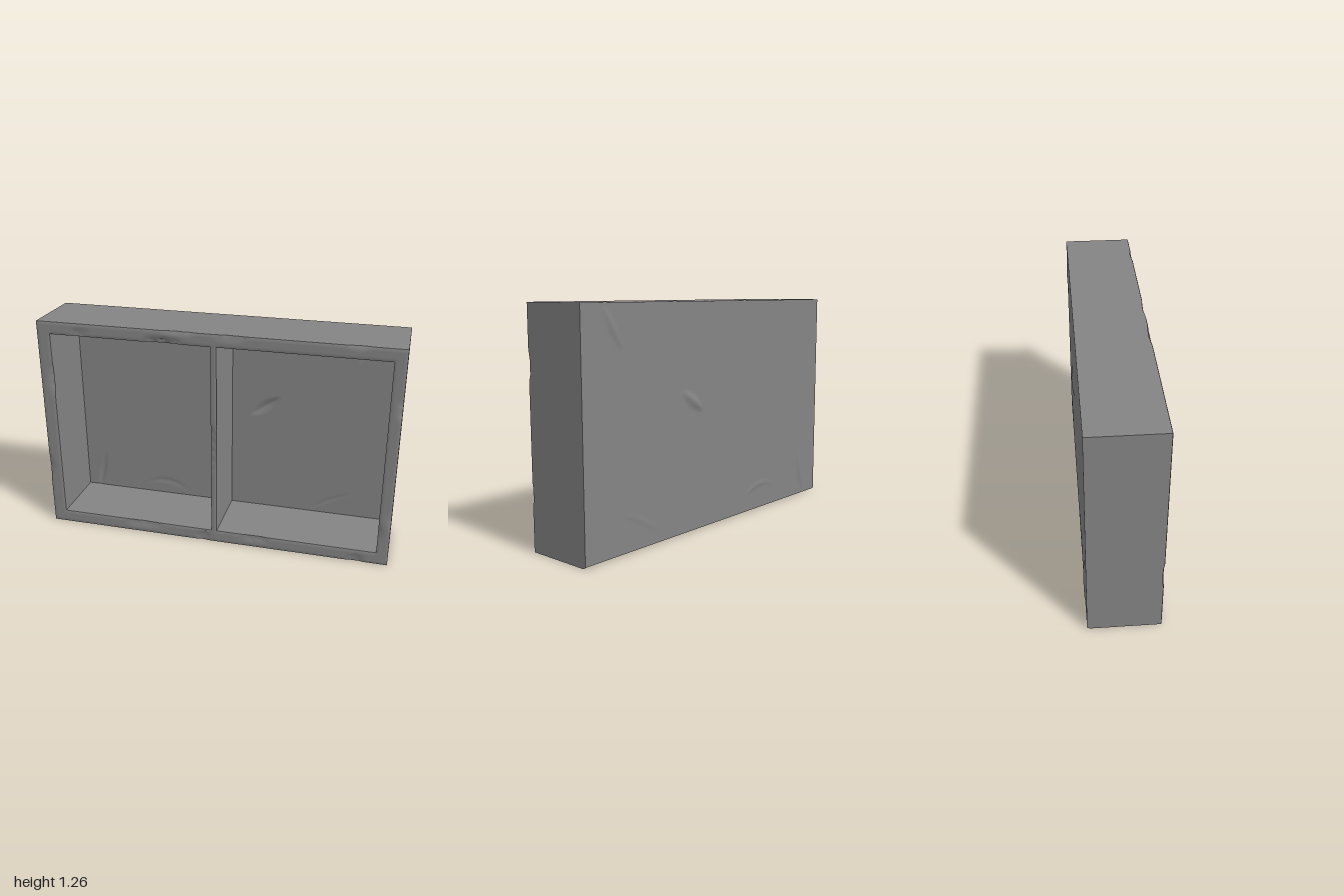
import * as THREE from 'three';
import { toCreasedNormals } from 'three/addons/utils/BufferGeometryUtils.js';

const material = new THREE.MeshStandardMaterial({ color: 0x848484 });
const FRONT = 0.2, BACK = -0.187, BEVEL = 0.007;

// Lines where the frame meets its openings
const xBreaks = [-1, -0.925, -0.01, 0.022, 0.935, 1];
const yBreaks = [0.004, 0.075, 1.19, 1.26];

// Worn spots on the front rim: x, y, radius along x, radius along y, depth
const chips = [
  [-0.28, 1.2, 0.13, 0.022, 0.012], [-0.18, 1.26, 0.1, 0.02, 0.008],
  [-0.75, 1.21, 0.06, 0.025, 0.007], [0.1, 1.25, 0.1, 0.02, 0.007],
  [0.77, 1.26, 0.07, 0.016, 0.007], [-0.42, 0.06, 0.14, 0.022, 0.008],
  [0.25, 0.06, 0.1, 0.022, 0.008], [-0.06, 0.03, 0.05, 0.04, 0.008],
  [0.82, 0.02, 0.06, 0.03, 0.008], [-0.93, 0.93, 0.022, 0.1, 0.012],
  [-1, 0.37, 0.03, 0.08, 0.008], [1, 0.95, 0.025, 0.08, 0.012],
  [1, 0.3, 0.025, 0.06, 0.008], [0.94, 0.2, 0.02, 0.06, 0.008],
  [0, 0.6, 0.03, 0.16, 0.01],
];

// Scratches pressed through the back: x, y, half length, half width, angle, depth, bend
const scratches = [
  [0.22, 0.73, 0.11, 0.036, 0.62, 0.013, 0],
  [0.8, 1.14, 0.13, 0.026, 1.05, 0.008, 0],
  [-0.83, 0.17, 0.15, 0.024, 1.35, 0.008, 0],
  [-0.39, 0.16, 0.16, 0.02, -0.08, 0.004, 2],
  [0.62, 0.16, 0.16, 0.018, 0.5, 0.003, 0.6],
];

// Fine grid lines between breaks, with a narrow strip beside each break
function gridLines(breaks) {
  const lines = [];
  for (let i = 0; i < breaks.length - 1; i++) {
    const a = breaks[i] + BEVEL, b = breaks[i + 1] - BEVEL;
    const n = Math.ceil((b - a) / 0.016);
    lines.push(breaks[i]);
    for (let k = 0; k <= n; k++) lines.push(a + ((b - a) * k) / n);
  }
  return [...lines, breaks[breaks.length - 1]];
}

function isSolid(x, y) {
  if (x < -1 || x > 1 || y < yBreaks[0] || y > yBreaks[3]) return false;
  const inRow = y > yBreaks[1] && y < yBreaks[2];
  const inBay = (x > xBreaks[1] && x < xBreaks[2]) || (x > xBreaks[3] && x < xBreaks[4]);
  return !(inRow && inBay);
}

// Height of the front rim: softened edges and chips
function rimZ(x, y) {
  const e = 0.001;
  const edge = [[e, e], [-e, e], [e, -e], [-e, -e]].some(([dx, dy]) => !isSolid(x + dx, y + dy));
  let wear = 0;
  for (const [cx, cy, rx, ry, depth] of chips) {
    const d = Math.hypot((x - cx) / rx, (y - cy) / ry);
    const rough = 0.8 + 0.2 * Math.sin(x * 90 + y * 110);
    if (d < 1) wear = Math.max(wear, depth * rough * Math.min(1, 2 * (1 - d)));
  }
  return FRONT - wear - (edge ? 0.003 : 0);
}

// One-piece frame with a divider, open at front and back
function frame() {
  const xs = gridLines(xBreaks), ys = gridLines(yBreaks), points = [];
  const quad = (a, b, c, d) => points.push(...a, ...b, ...c, ...a, ...c, ...d);
  const front = ([x, y]) => [x, y, rimZ(x, y)];
  // The bottom edge stops short of the back sheet, leaving a small step
  const back = ([x, y]) => [x, y, y < 0.005 ? -0.172 : BACK];
  for (let i = 0; i < xs.length - 1; i++) {
    for (let j = 0; j < ys.length - 1; j++) {
      const [x0, x1, y0, y1] = [xs[i], xs[i + 1], ys[j], ys[j + 1]];
      const mx = (x0 + x1) / 2, my = (y0 + y1) / 2;
      if (!isSolid(mx, my)) continue;
      const c = [[x0, y0], [x1, y0], [x1, y1], [x0, y1]];
      quad(...c.map(front));
      const neighbours = [[mx, y0 - 0.002], [x1 + 0.002, my], [mx, y1 + 0.002], [x0 - 0.002, my]];
      neighbours.forEach(([nx, ny], k) => {
        if (isSolid(nx, ny)) return;
        const p = c[k], q = c[(k + 1) % 4];
        quad(front(p), back(p), back(q), front(q));
      });
    }
  }
  const g = new THREE.BufferGeometry();
  g.setAttribute('position', new THREE.Float32BufferAttribute(points, 3));
  const mesh = new THREE.Mesh(toCreasedNormals(g, 0.7), material);
  mesh.name = 'frame';
  return mesh;
}

// Thin back sheet, dented inside and bulging outside
function backPanel() {
  const g = new THREE.BoxGeometry(1.999, 1.246, 0.016, 190, 118, 1);
  g.translate(0, 0.6365, -0.18);
  const p = g.attributes.position;
  for (let i = 0; i < p.count; i++) {
    let push = 0;
    for (const [x, y, len, width, angle, depth, bend] of scratches) {
      const dx = p.getX(i) - x, dy = p.getY(i) - y;
      const c = Math.cos(angle), s = Math.sin(angle);
      const a = dx * c + dy * s;
      const b = dy * c - dx * s + bend * a * a;
      const taper = 1 - (a / len) ** 2;
      const r = taper - Math.abs(b) / width;
      if (taper > 0 && r > 0) push = Math.max(push, depth * r);
    }
    p.setZ(i, p.getZ(i) - push);
  }
  const mesh = new THREE.Mesh(toCreasedNormals(g, 0.7), material);
  mesh.name = 'backPanel';
  return mesh;
}

export function createModel() {
  const group = new THREE.Group();
  group.name = 'twoBayBox';
  group.add(frame(), backPanel());
  return group;
}
